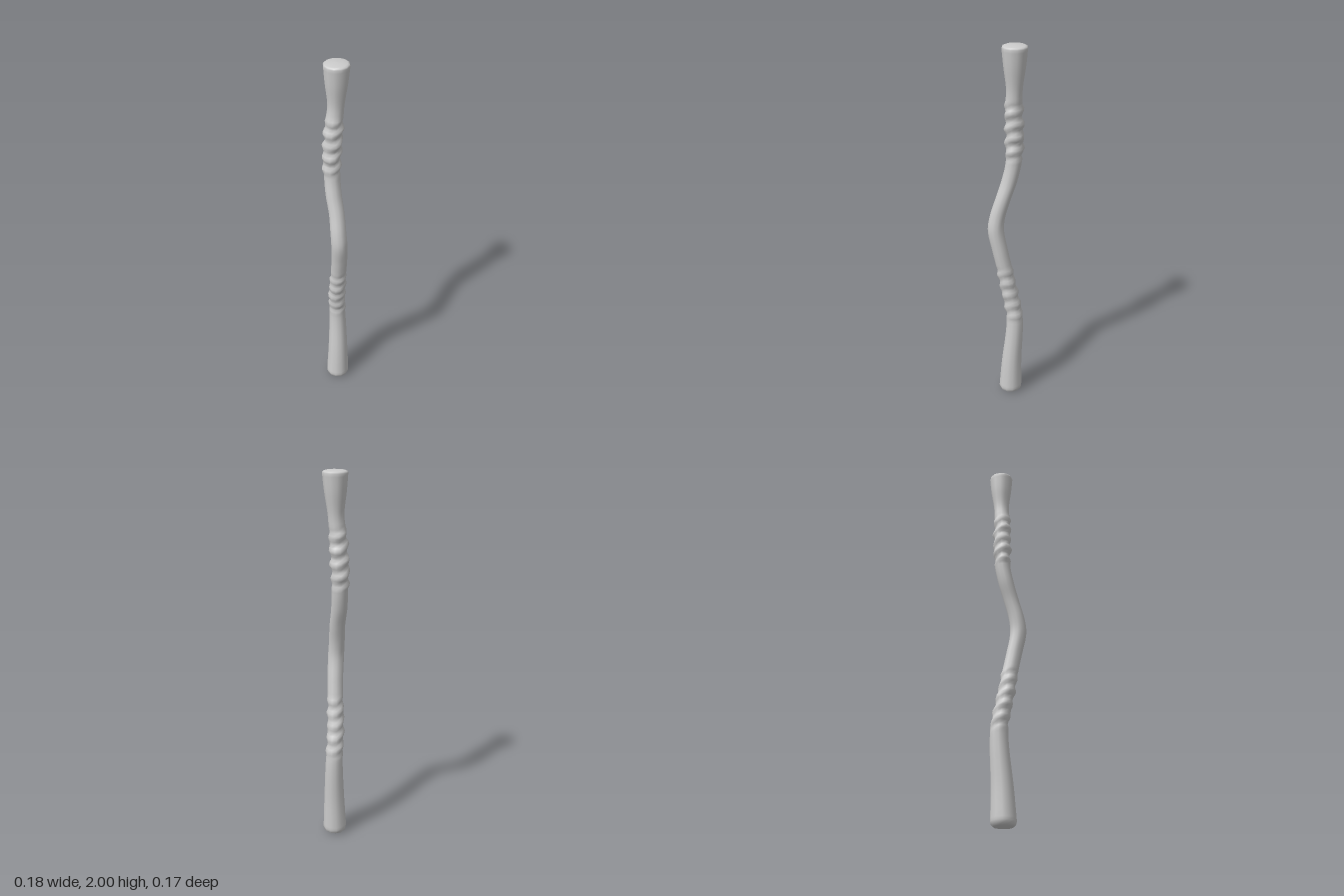
import * as THREE from 'three';

// Centre line and thickness of the stick: [y, x, z, radius]
const STATIONS = [
  [0.03, -0.01, -0.01, 0.064], [0.2, -0.013, -0.016, 0.056], [0.4, -0.024, -0.026, 0.048],
  [0.5, -0.026, -0.024, 0.045], [0.6, -0.016, -0.01, 0.045], [0.7, 0, 0.003, 0.044],
  [0.8, 0.015, 0.013, 0.042], [0.9, 0.032, 0.026, 0.042], [1.02, 0.047, 0.043, 0.043],
  [1.1, 0.038, 0.041, 0.042], [1.2, 0.013, 0.025, 0.041], [1.3, -0.019, 0.012, 0.042],
  [1.4, -0.038, 0.001, 0.042], [1.5, -0.041, 0, 0.046], [1.6, -0.036, -0.004, 0.046],
  [1.68, -0.031, -0.006, 0.045], [1.78, -0.027, -0.015, 0.041], [1.9, -0.026, -0.018, 0.056],
  [1.985, -0.025, -0.019, 0.064],
];
const SIDES = 12;

// Smooth interpolation of the stations at height y
function sample(y) {
  let i = 0;
  while (i < STATIONS.length - 2 && y > STATIONS[i + 1][0]) i++;
  const at = (k) => STATIONS[THREE.MathUtils.clamp(k, 0, STATIONS.length - 1)];
  const [p, a, b, n] = [at(i - 1), at(i), at(i + 1), at(i + 2)];
  const h = b[0] - a[0], t = (y - a[0]) / h;
  return [1, 2, 3].map((c) => {
    const m0 = (b[c] - p[c]) / (b[0] - p[0]) * h, m1 = (n[c] - a[c]) / (n[0] - a[0]) * h;
    return (2 * t ** 3 - 3 * t * t + 1) * a[c] + (t ** 3 - 2 * t * t + t) * m0
      + (3 * t * t - 2 * t ** 3) * b[c] + (t ** 3 - t * t) * m1;
  });
}

// Uneven spiral ridges of the two wrapped grips
function ridge(y, angle) {
  const band = (lo, hi) => THREE.MathUtils.smoothstep(y, lo, lo + 0.04)
    * (1 - THREE.MathUtils.smoothstep(y, hi - 0.04, hi));
  const wave = Math.sin(y * 92 + angle + 0.8 * Math.sin(angle * 2)) + 0.5 * Math.sin(y * 61 - angle * 2);
  return (band(1.4, 1.73) * 0.0055 + band(0.47, 0.82) * 0.0038) * wave;
}

function stickGeometry() {
  const positions = [], indices = [];
  let rings = 0;
  const addRing = (y, scale, at = y, tilt = 0) => {
    const [x, z, r] = sample(at);
    for (let j = 0; j < SIDES; j++) {
      const angle = j / SIDES * Math.PI * 2;
      const radius = (r + ridge(at, angle)) * scale;
      positions.push(x + Math.cos(angle) * radius, y + Math.cos(angle) * tilt, z + Math.sin(angle) * radius);
    }
    rings++;
  };

  // Rounded foot, shaft, then shallow crown
  const foot = 0.03, crown = 1.985;
  [[0, 0.02], [0.002, 0.45], [0.005, 0.78], [0.014, 0.94]].forEach(([y, s]) => addRing(y, s, foot));
  const steps = 130;
  for (let i = 0; i <= steps; i++) addRing(foot + (crown - foot) * i / steps, 1);
  [[1.992, 0.95], [1.996, 0.8], [1.999, 0.4], [2, 0.02]].forEach(([y, s]) => addRing(y, s, crown));

  for (let i = 0; i < rings - 1; i++) {
    for (let j = 0; j < SIDES; j++) {
      const a = i * SIDES + j, b = i * SIDES + (j + 1) % SIDES;
      indices.push(a, a + SIDES, b, b, a + SIDES, b + SIDES);
    }
  }
  // Close the tiny holes at both ends
  const last = (rings - 1) * SIDES;
  for (let j = 1; j < SIDES - 1; j++) {
    indices.push(0, j, j + 1, last, last + j + 1, last + j);
  }

  const geometry = new THREE.BufferGeometry();
  geometry.setAttribute('position', new THREE.Float32BufferAttribute(positions, 3));
  geometry.setIndex(indices);
  geometry.computeVertexNormals();
  return geometry;
}

export function createModel() {
  const group = new THREE.Group();
  group.name = 'crookedStaff';
  const staff = new THREE.Mesh(stickGeometry(), new THREE.MeshStandardMaterial({ color: 0xcccccc }));
  staff.name = 'staffShaft';
  group.add(staff);
  return group;
}
